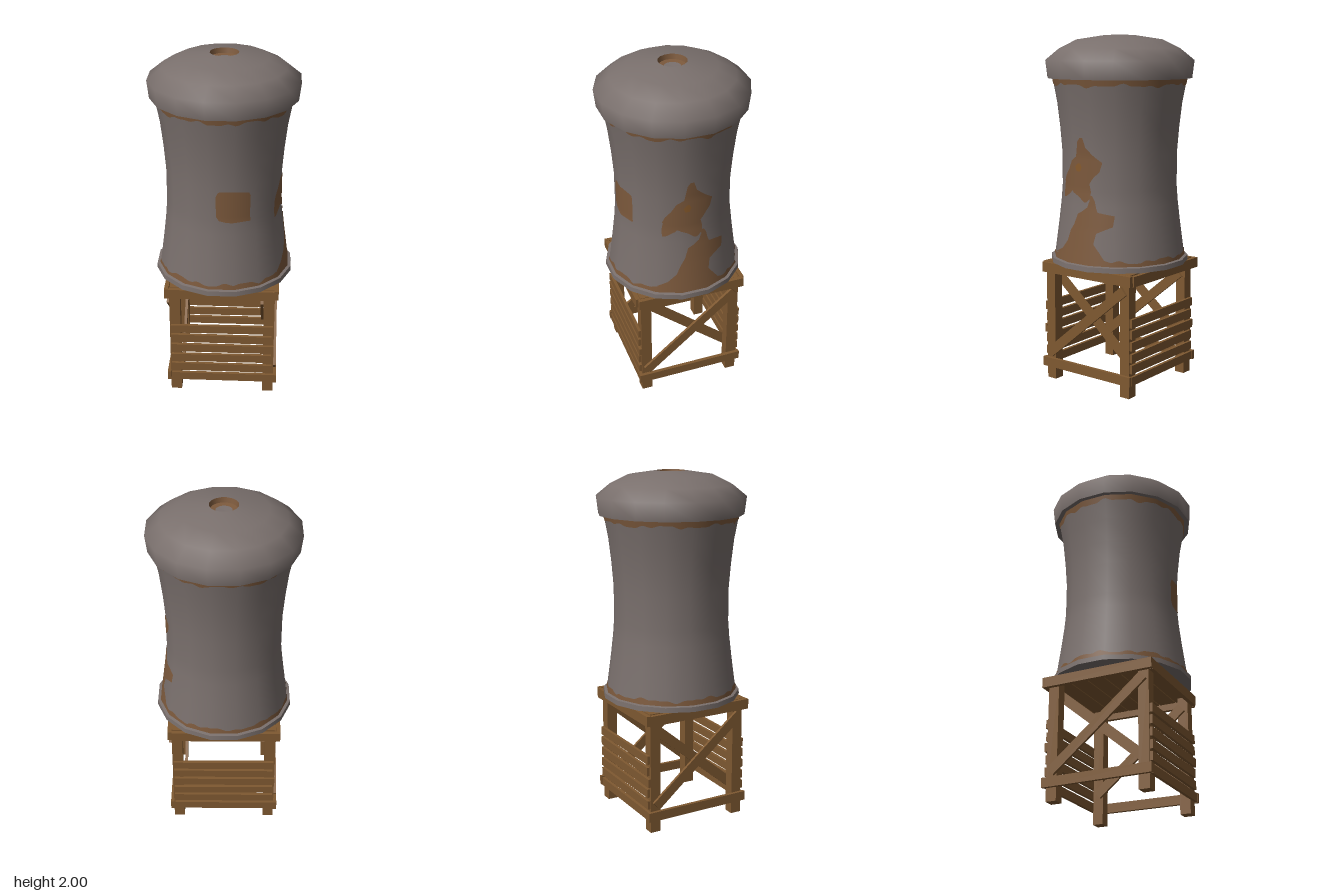
import * as THREE from 'three';

const flat = (name, color, side = THREE.FrontSide) => {
  const m = new THREE.MeshStandardMaterial({ color, side });
  m.name = name;
  return m;
};

const SIDES = 16, STEP = (Math.PI * 2) / SIDES;

// Tank wall outline: [radius, height]
const WALL = [[0.379, 0.74], [0.368, 0.82], [0.352, 0.94], [0.338, 1.06], [0.331, 1.15],
  [0.331, 1.34], [0.342, 1.48], [0.358, 1.62], [0.385, 1.765]];

function wallRadius(y) {
  let i = 1;
  while (i < WALL.length - 1 && y > WALL[i][1]) i++;
  const [r0, y0] = WALL[i - 1], [r1, y1] = WALL[i];
  return r0 + ((r1 - r0) * (y - y0)) / (y1 - y0);
}

// Point just above the sixteen-sided wall
function wallPoint(angle, y, lift = 0.003) {
  const off = angle - Math.round(angle / STEP) * STEP;
  const r = (wallRadius(y) * Math.cos(STEP / 2)) / Math.cos(off) + lift;
  return [r * Math.sin(angle), y, r * Math.cos(angle)];
}

// Thin skin over the wall; at(u, v) gives [angle, height], u to the right, v upward
function wallSkin(at, nu, nv) {
  const pos = [], nor = [], idx = [];
  for (let j = 0; j <= nv; j++) {
    for (let i = 0; i <= nu; i++) {
      const [a, y] = at(i / nu, j / nv);
      pos.push(...wallPoint(a, y));
      const slope = (wallRadius(y + 0.02) - wallRadius(y - 0.02)) / 0.04;
      const n = new THREE.Vector3(Math.sin(a), -slope, Math.cos(a)).normalize();
      nor.push(n.x, n.y, n.z);
      if (i < nu && j < nv) {
        const k = j * (nu + 1) + i, t = k + nu + 1;
        idx.push(k, k + 1, t + 1, k, t + 1, t);
      }
    }
  }
  const g = new THREE.BufferGeometry();
  g.setAttribute('position', new THREE.Float32BufferAttribute(pos, 3));
  g.setAttribute('normal', new THREE.Float32BufferAttribute(nor, 3));
  g.setIndex(idx);
  return g;
}

// Patch from rows of [height, left, right], listed upward, around a facing angle
function patch(rows, facing) {
  const n = (rows.length - 1) * 4;
  return wallSkin((u, v) => {
    const f = Math.min(v * (rows.length - 1), rows.length - 1 - 1e-6);
    const a = rows[Math.floor(f)], b = rows[Math.floor(f) + 1];
    const [y, l, r] = a.map((p, k) => THREE.MathUtils.lerp(p, b[k], f % 1));
    return [facing + Math.asin((l + (r - l) * u) / wallRadius(y)), y];
  }, 16, n);
}

export function createModel() {
  const metal = flat('grey metal', 0x7a706d);
  const rust = flat('rust', 0x7c593c);
  const brightRust = flat('bright rust', 0x875a2c);
  const wood = flat('wood', 0x7f5931);

  const model = new THREE.Group();
  model.name = 'waterTower';
  const tank = new THREE.Group();
  tank.name = 'tank';
  const stand = new THREE.Group();
  stand.name = 'stand';
  model.add(tank, stand);

  const add = (parent, name, geometry, material) => {
    const m = new THREE.Mesh(geometry, material);
    m.name = name;
    parent.add(m);
    return m;
  };
  const lathe = (name, pts, material) => add(tank, name,
    new THREE.LatheGeometry(pts.map(p => new THREE.Vector2(...p)), SIDES, STEP / 2), material);

  // Tank body, foot rim and floor
  lathe('tankWall', WALL, metal);
  lathe('tankFloor', [[0, 0.71], [0.4, 0.71]], metal);
  lathe('footRim', [[0.4, 0.71], [0.398, 0.738]], metal);
  lathe('footRimTop', [[0.398, 0.738], [0.375, 0.742]], metal);

  // Domed lid with a sunken filler hole
  lathe('lidUnderside', [[0.37, 1.76], [0.413, 1.76]], metal);
  lathe('lid', [[0.413, 1.76], [0.425, 1.86], [0.345, 1.925], [0.245, 1.975], [0.08, 2]], metal);
  lathe('fillerHoleWall', [[0.08, 2], [0.074, 1.972]], rust);
  lathe('fillerHoleRing', [[0.074, 1.972], [0.046, 1.968]], rust);
  lathe('fillerHoleFloor', [[0.046, 1.968], [0, 1.966]], metal);

  // Rust bands with ragged edges
  const ragged = a => 0.006 * Math.sin(a * 7) + 0.005 * Math.sin(a * 17 + 1) + 0.003 * Math.sin(a * 29);
  add(tank, 'lowerRustBand', wallSkin((u, v) => {
    const a = u * Math.PI * 2;
    return [a, 0.742 + v * (0.026 + ragged(a))];
  }, 192, 2), rust);
  add(tank, 'upperRustBand', wallSkin((u, v) => {
    const a = u * Math.PI * 2;
    return [a, 1.762 - (1 - v) * (0.034 + ragged(a + 2))];
  }, 192, 2), rust);

  // Rust patches
  add(tank, 'frontRustPatch', patch([[1.138, 0.03, 0.157], [1.148, -0.014, 0.158], [1.175, -0.03, 0.155],
    [1.29, -0.032, 0.158], [1.31, -0.024, 0.15], [1.322, -0.012, 0.08]], 0), rust);
  const side = Math.PI / 2;
  add(tank, 'upperSideRustPatch', patch([[1.085, 0.01, 0.025], [1.115, -0.03, 0.055], [1.15, -0.1, 0.055],
    [1.19, -0.165, 0.045], [1.225, -0.15, 0.07], [1.26, -0.12, 0.105], [1.31, -0.09, 0.12],
    [1.335, -0.05, 0.085], [1.39, -0.04, 0.02], [1.42, -0.035, 0.01], [1.442, -0.018, 0.002]], side), rust);
  add(tank, 'sideRustTail', patch([[1.1, -0.165, -0.15], [1.13, -0.168, -0.1], [1.16, -0.165, -0.07],
    [1.19, -0.16, -0.04]], side), rust);
  add(tank, 'lowerSideRustPatch', patch([[0.745, -0.27, 0.19], [0.77, -0.23, 0.16], [0.81, -0.15, 0.13],
    [0.86, -0.1, 0.09], [0.92, -0.075, 0.1], [0.96, -0.05, 0.185], [1.02, -0.03, 0.19],
    [1.035, 0.0, 0.1], [1.06, 0.035, 0.09], [1.1, 0.05, 0.08], [1.125, 0.04, 0.065]], side), rust);
  const spot = add(tank, 'brightRustSpot', patch([[1.255, -0.045, -0.02], [1.28, -0.055, -0.01],
    [1.3, -0.035, -0.02]], side), brightRust);
  spot.scale.set(1.004, 1, 1.004);

  // Wooden stand
  const board = (name, [w, h, d], [x, y, z], [rx, ry, rz] = [0, 0, 0]) => {
    const m = add(stand, name, new THREE.BoxGeometry(w, h, d), wood);
    m.position.set(x, y, z);
    m.rotation.set(rx, ry, rz);
  };

  for (const sx of [-1, 1]) for (const sz of [-1, 1])
    board('leg', [0.062, 0.69, 0.062], [sx * 0.272, 0.345, sz * 0.27]);

  // Top beams, lapped at the corners
  board('frontTopBeam', [0.605, 0.058, 0.024], [-0.002, 0.674, 0.316]);
  board('backTopBeam', [0.625, 0.058, 0.024], [-0.012, 0.674, -0.322]);
  board('leftTopBeam', [0.024, 0.058, 0.64], [0.312, 0.674, -0.005], [0.005, 0, 0]);
  board('rightTopBeam', [0.024, 0.058, 0.645], [-0.316, 0.674, 0.006], [-0.005, 0, 0]);

  // Platform planks under the tank
  for (let i = 0; i < 6; i++)
    board('platformPlank', [0.6, 0.022, 0.095], [0, 0.694, -0.255 + i * 0.102]);

  // Slats on front and back, slightly uneven
  for (const s of [-1, 1]) for (let i = 0; i < 6; i++) {
    const wobble = Math.sin(i * 2.3 + 1);
    board('slat', [0.592 + 0.008 * wobble, 0.049, 0.018],
      [s * 0.004 * wobble, 0.102 + i * 0.0665, s * 0.308], [0, 0, s * 0.006 * Math.sin(i * 4.1)]);
  }

  // Lower rails and crossed braces on both sides
  const tilt = THREE.MathUtils.degToRad(40);
  for (const s of [-1, 1]) {
    board('lowerRail', [0.02, 0.054, 0.64], [s * 0.312, 0.103, 0], [s * 0.006, 0, 0]);
    board('outerBrace', [0.016, 0.056, 0.71], [s * 0.311, 0.388, 0], [s * tilt, 0, 0].map((v, i) => (i ? 0 : v)));
    board('innerBrace', [0.016, 0.056, 0.7], [s * 0.23, 0.393, 0], [-s * tilt, 0, 0]);
  }
  return model;
}
